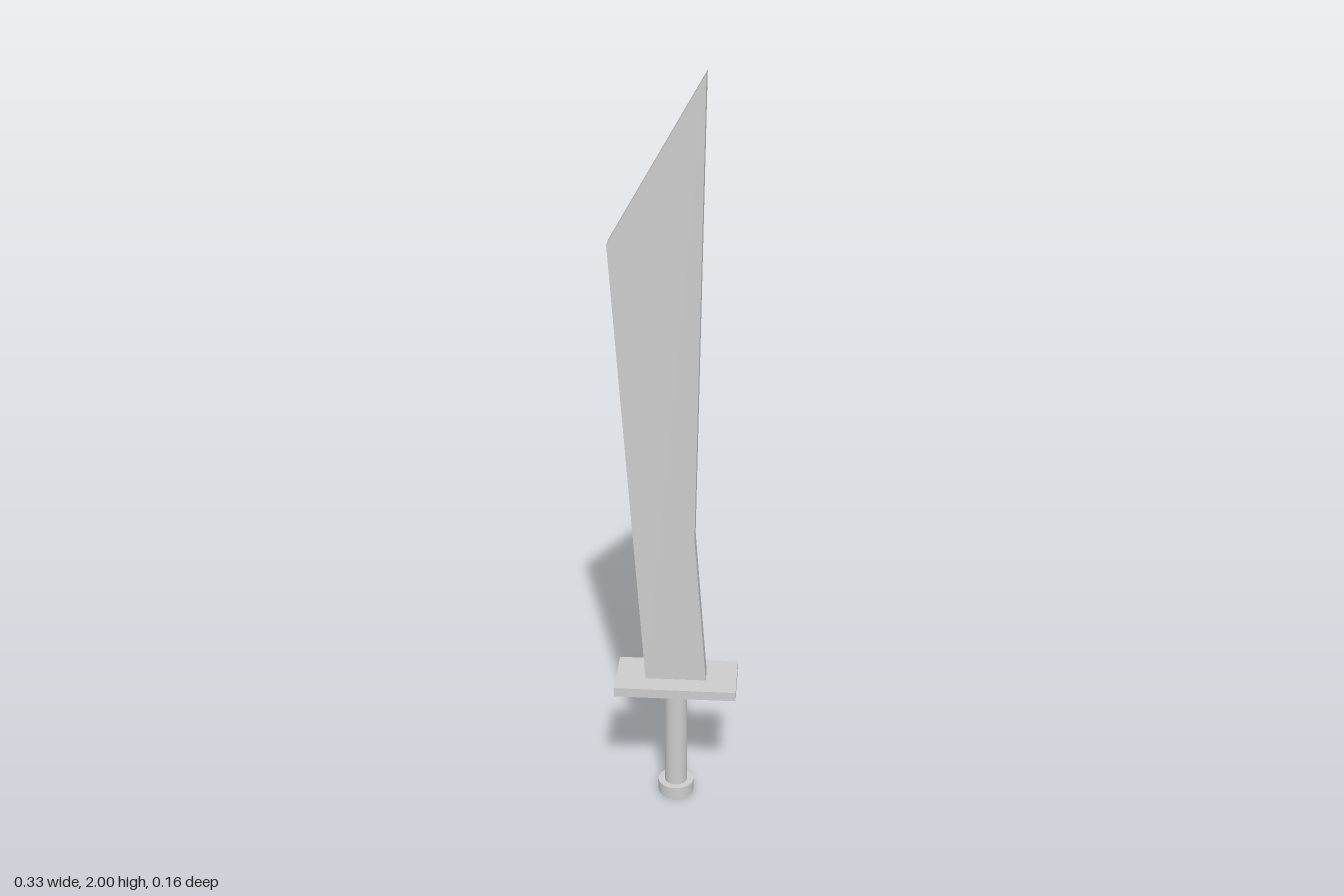
import * as THREE from 'three';

export function createModel() {
  const sword = new THREE.Group();
  sword.name = 'sword';
  const material = new THREE.MeshStandardMaterial({ color: 0xcccccc });

  const add = (name, geometry, x, y, z) => {
    const mesh = new THREE.Mesh(geometry, material);
    mesh.name = name;
    mesh.position.set(x, y, z);
    sword.add(mesh);
  };

  // Round pommel and grip
  add('pommel', new THREE.CylinderGeometry(0.049, 0.049, 0.035, 32), 0, 0.0175, 0);
  add('grip', new THREE.CylinderGeometry(0.031, 0.031, 0.315, 32), 0, 0.1925, 0);

  // Flat rectangular guard
  add('guard', new THREE.BoxGeometry(0.328, 0.026, 0.162), 0.002, 0.362, 0);

  // Blade: flat slab that widens towards a slanted tip
  const thickness = 0.049;
  const outline = new THREE.Shape([
    [-0.081, 0.37], [0.083, 0.37], [0.05, 0.8], [0.072, 2], [-0.167, 1.59],
  ].map(([x, y]) => new THREE.Vector2(x, y)));
  const blade = new THREE.ExtrudeGeometry(outline, { depth: thickness, bevelEnabled: false });
  add('blade', blade, 0, 0, -thickness / 2);

  return sword;
}
